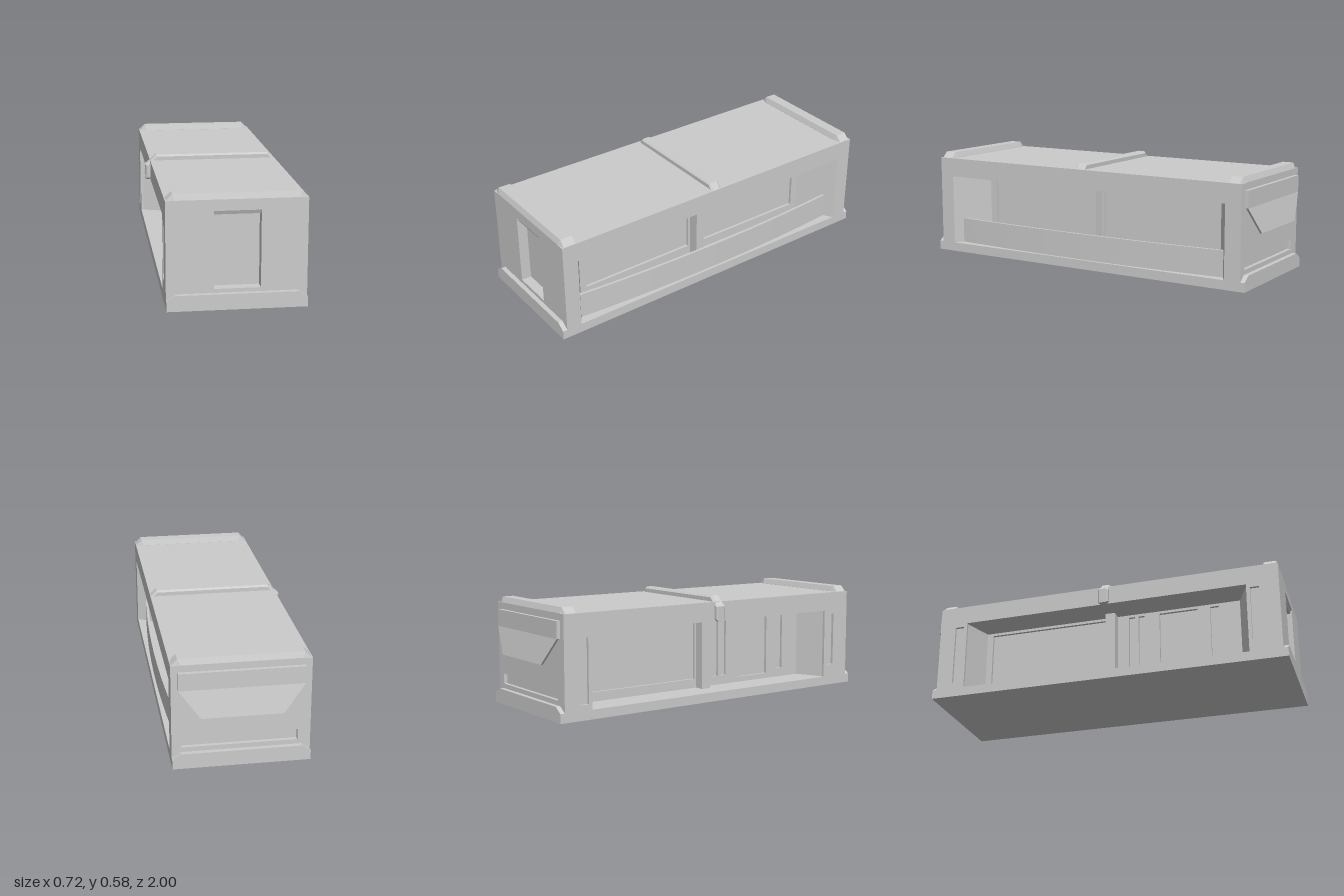
import * as THREE from 'three';

export function createModel() {
  const root = new THREE.Group();
  const mat = new THREE.MeshStandardMaterial({ color: 0xcccccc, flatShading: true });
  const L = -0.335, R = 0.36, ROOF = 0.545;

  const add = (name, geo) => {
    const m = new THREE.Mesh(geo, mat);
    m.name = name;
    root.add(m);
    return m;
  };
  const toShape = pts => new THREE.Shape(pts.map(p => new THREE.Vector2(p[0], p[1])));
  const rect = (a0, a1, b0, b1) => [[a0, b0], [a1, b0], [a1, b1], [a0, b1]];
  const extrude = (pts, depth, holes = [], opts = {}) => {
    const s = toShape(pts);
    holes.forEach(h => s.holes.push(toShape(rect(...h))));
    return new THREE.ExtrudeGeometry(s, { depth, bevelEnabled: false, ...opts });
  };
  const box = (name, x0, x1, y0, y1, z0, z1) =>
    add(name, new THREE.BoxGeometry(x1 - x0, y1 - y0, z1 - z0)
      .translate((x0 + x1) / 2, (y0 + y1) / 2, (z0 + z1) / 2));
  // panel facing sideways: outline and holes in (z, y), spanning x0..x1
  const sidePanel = (name, x0, x1, outline, holes) =>
    add(name, extrude(rect(...outline), x1 - x0, holes).rotateY(-Math.PI / 2).translate(x1, 0, 0));
  // plan outline in (x, z), raised from y0 to y1
  const plan = (name, pts, y0, y1) =>
    add(name, extrude(pts, y1 - y0).rotateX(Math.PI / 2).translate(0, y1, 0));

  // floor, roof and the core between the two side recesses
  box('floor', -0.32, R, 0, 0.05, -0.93, 0.92);
  box('roof', -0.32, R, 0.44, ROOF, -0.93, 0.92);
  plan('core', [
    [R, 0.92], [R, 0.89], [0.145, 0.761], [0.145, -0.731], [R, -0.86], [R, -0.93],
    [-0.32, -0.93], [-0.32, -0.79], [-0.15, -0.73], [-0.15, 0.73], [-0.32, 0.8], [-0.32, 0.92]
  ], 0.05, 0.44);

  // end walls with the recessed door and the rear slot
  add('frontWall', extrude(rect(L, R, 0, ROOF), 0.055, [[-0.10, 0.13, 0.10, 0.49]]).translate(0, 0, 0.92));
  add('backWall', extrude(rect(L, R, 0, ROOF), 0.02, [[-0.27, 0.31, 0.105, 0.16]]).translate(0, 0, -0.95));

  // outer frame with the open side and two narrow slits
  sidePanel('rightFrame', L, -0.32, [-0.93, 0.92, 0, ROOF],
    [[-0.79, 0.8, 0.05, 0.44], [-0.86, -0.81, 0.08, 0.42], [0.82, 0.87, 0.12, 0.42]]);

  // inner walls with window openings
  sidePanel('leftWindowWall', 0.145, 0.16, [-0.74, 0.77, 0.05, 0.44],
    [[0.06, 0.73, 0.1, 0.425], [-0.7, -0.02, 0.1, 0.425]]);
  sidePanel('rightWindowWall', -0.165, -0.15, [-0.735, 0.735, 0.05, 0.44],
    [[-0.7, -0.02, 0.1, 0.425], [0.11, 0.145, 0.1, 0.425], [0.165, 0.2, 0.1, 0.425],
      [0.285, 0.5, 0.08, 0.425], [0.57, 0.62, 0.1, 0.425]]);

  // pillars in the middle of each recess
  box('leftPillar', 0.15, 0.22, 0.05, 0.44, -0.005, 0.045);
  box('rightPillar', -0.22, -0.155, 0.05, 0.44, -0.01, 0.045);

  // gently bowed parapet along the left opening
  const bow = [];
  const N = 20;
  const bowX = t => 0.31 + 0.035 * (1 - (2 * t - 1) ** 2);
  for (let i = 0; i <= N; i++) bow.push([bowX(i / N), -0.835 + 1.695 * i / N]);
  for (let i = N; i >= 0; i--) bow.push([bowX(i / N) - 0.015, -0.835 + 1.695 * i / N]);
  plan('parapet', bow, 0.05, 0.19);

  // roof ribs with chamfered edges
  const rib = (name, pts, z0, z1, size, thick) =>
    add(name, extrude(pts, z1 - z0 - 2 * thick, [], {
      bevelEnabled: true, bevelSegments: 1, bevelSize: size, bevelOffset: -size, bevelThickness: thick
    }).translate(0, 0, z0 + thick));
  const cap = [[L, 0.47], [R, 0.47], [R, 0.54], [0.325, 0.576], [-0.3, 0.576], [L, 0.54]];
  rib('frontRib', cap, 0.885, 0.975, 0.03, 0.012);
  rib('backRib', cap, -0.95, -0.865, 0.03, 0.012);
  rib('middleRib', [
    [-0.36, 0.44], [-0.32, 0.44], [-0.32, 0.49], [R, 0.49], [R, 0.54],
    [0.325, 0.576], [-0.3, 0.576], [L, 0.543], [-0.362, 0.522]
  ], -0.013, 0.045, 0.01, 0.01);

  // bumper lips at both ends
  const lip = [[L, 0], [R, 0], [R, 0.05], [0.315, 0.08], [-0.29, 0.08], [L, 0.05]];
  add('frontLip', extrude(lip, 0.025).translate(0, 0, 0.975));
  add('backLip', extrude(lip, 0.025).translate(0, 0, -0.975));

  // rear awning: upright header and a tapered flap leaning outward
  box('awningHeader', -0.3, 0.325, 0.42, 0.51, -0.97, -0.95);
  const flap = extrude([[-0.19, 0.28], [0.22, 0.28], [0.325, 0.42], [-0.3, 0.42]], 0.012);
  const p = flap.attributes.position;
  for (let i = 0; i < p.count; i++) p.setZ(i, p.getZ(i) - 0.97 - (0.42 - p.getY(i)) * 0.214);
  flap.computeVertexNormals();
  add('awningFlap', flap);

  return root;
}
